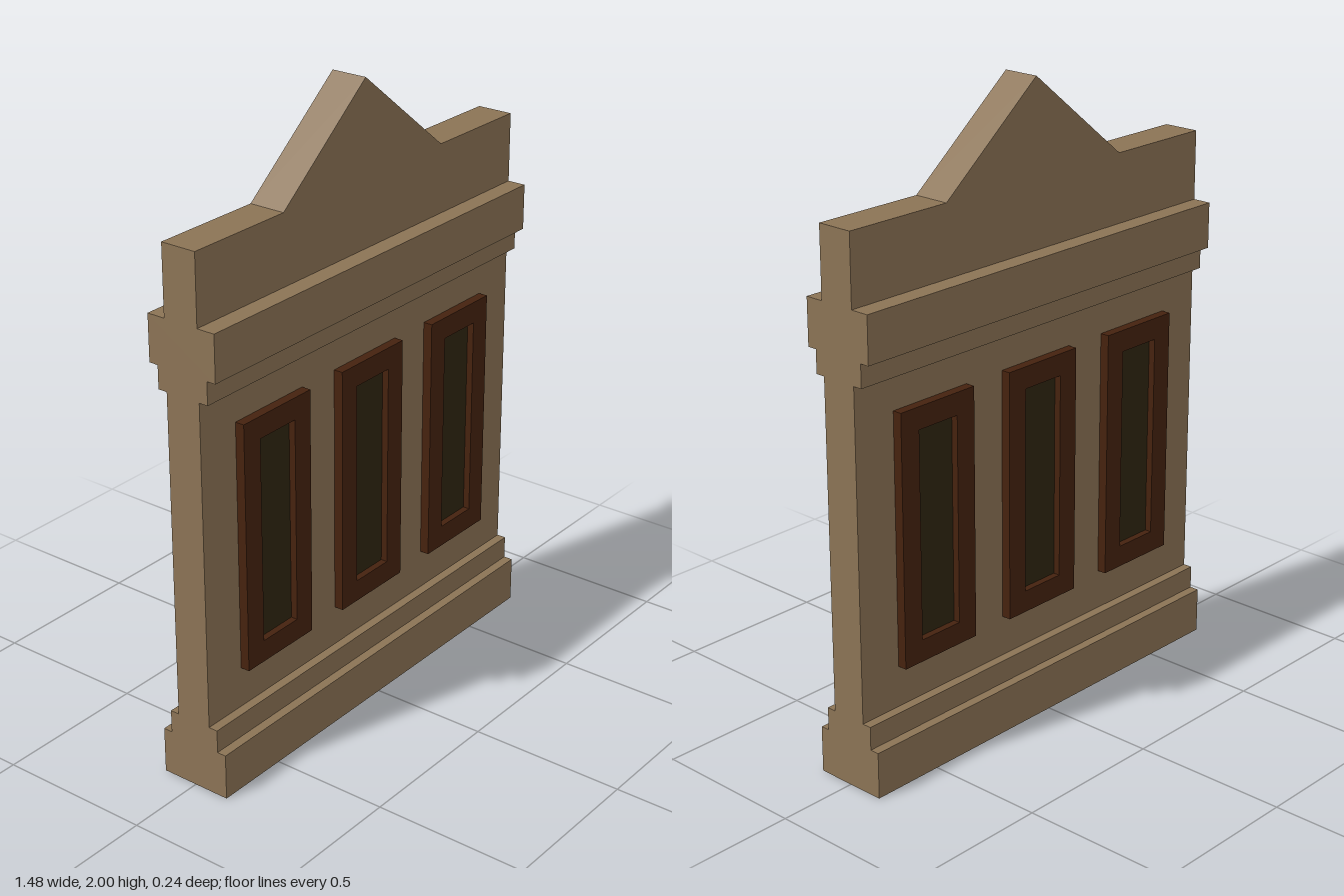
import * as THREE from 'three';

const W = 0.741;       // half width of the wall
const D = 0.059;       // half thickness of the wall
const STEP = 0.089;    // half depth of the small mouldings
const LEDGE = 0.119;   // half depth of the large mouldings
const CORNICE_TOP = 1.483;

function shapeFrom(points) {
  return new THREE.Shape(points.map(([x, y]) => new THREE.Vector2(x, y)));
}

function rectangle(halfW, y0, y1, Type = THREE.Shape) {
  return new Type([[-halfW, y0], [halfW, y0], [halfW, y1], [-halfW, y1]]
    .map(([x, y]) => new THREE.Vector2(x, y)));
}

function extrude(shape, depth) {
  return new THREE.ExtrudeGeometry(shape, { depth, bevelEnabled: false });
}

export function createModel() {
  const stone = new THREE.MeshStandardMaterial({ color: 0x8b7355 });
  const wood = new THREE.MeshStandardMaterial({ color: 0x45220e });
  const glass = new THREE.MeshStandardMaterial({ color: 0x2f2611 });
  stone.name = 'stone';
  wood.name = 'dark wood';
  glass.name = 'dark glass';

  const model = new THREE.Group();
  model.name = 'facade';
  const add = (parent, name, geometry, material) => {
    const mesh = new THREE.Mesh(geometry, material);
    mesh.name = name;
    parent.add(mesh);
    return mesh;
  };

  // Wall with plinth and cornice: one stepped profile swept across the width
  const half = [
    [LEDGE, 0], [LEDGE, 0.148], [STEP, 0.148], [STEP, 0.222], [D, 0.222],
    [D, 1.263], [STEP, 1.263], [STEP, 1.336], [LEDGE, 1.336], [LEDGE, CORNICE_TOP],
  ];
  const mirrored = half.map(([z, y]) => [-z, y]).reverse();
  const wall = extrude(shapeFrom([...half, ...mirrored]), 2 * W);
  wall.translate(0, 0, -W).rotateY(Math.PI / 2);
  add(model, 'wallWithMouldings', wall, stone);

  // Parapet with the central gable
  const parapet = extrude(shapeFrom([
    [-W, CORNICE_TOP], [W, CORNICE_TOP], [W, 1.704], [0.371, 1.704],
    [0, 2], [-0.371, 1.704], [-W, 1.704],
  ]), 2 * D);
  parapet.translate(0, 0, -D);
  add(model, 'parapet', parapet, stone);

  // Three framed windows on the front and on the back
  const frameShape = rectangle(0.148, 0.352, 1.15);
  frameShape.holes.push(rectangle(0.077, 0.422, 1.08, THREE.Path));
  const frame = extrude(frameShape, STEP - D);
  const pane = new THREE.BoxGeometry(0.156, 0.66, 0.008);
  for (const side of ['front', 'back']) {
    const row = new THREE.Group();
    row.name = side + 'Windows';
    if (side === 'back') row.rotation.y = Math.PI;
    for (const x of [-0.445, 0, 0.445]) {
      add(row, 'windowFrame', frame, wood).position.set(x, 0, D);
      add(row, 'windowPane', pane, glass).position.set(x, 0.751, D + 0.004);
    }
    model.add(row);
  }
  return model;
}
